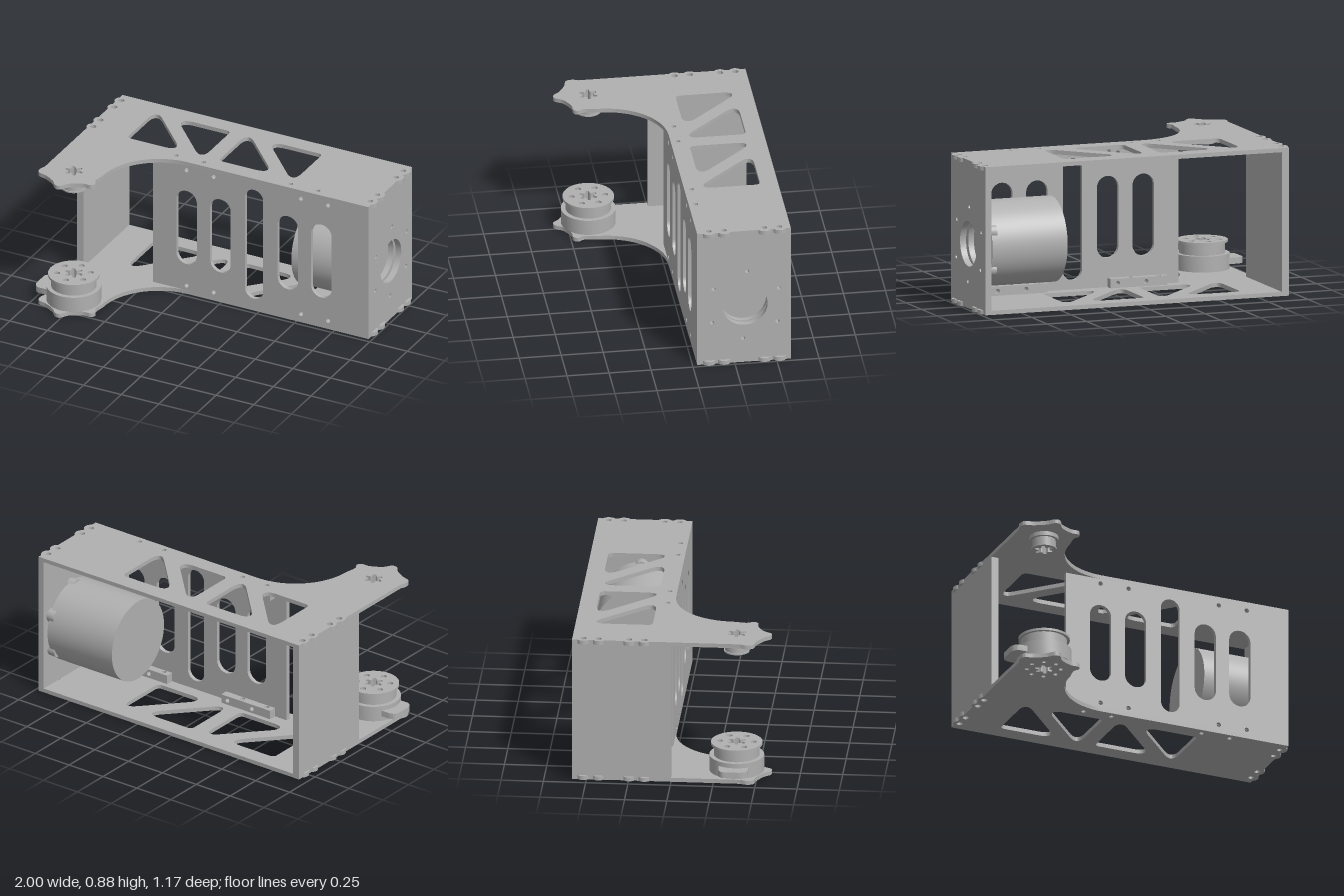
import * as THREE from 'three';
import { toCreasedNormals } from 'three/addons/utils/BufferGeometryUtils.js';

const metal = new THREE.MeshStandardMaterial({ color: 0xb0b0b0 });
metal.name = 'grey metal';

const PULLEY = [-0.77, 0.375]; // x, z of the pulley axis

function part(name, geometry) {
  const mesh = new THREE.Mesh(toCreasedNormals(geometry, 0.6), metal);
  mesh.name = name;
  return mesh;
}

const extrude = (shape, depth) =>
  new THREE.ExtrudeGeometry(shape, { depth, bevelEnabled: false, curveSegments: 16 });

// Shape drawn in x, z and laid flat between y0 and y1
const flat = (shape, y0, y1) => extrude(shape, y1 - y0).rotateX(Math.PI / 2).translate(0, y1, 0);

function circle(x, y, r) {
  const p = new THREE.Path();
  p.absarc(x, y, r, 0, Math.PI * 2, false);
  return p;
}

function rect(x0, y0, x1, y1) {
  return new THREE.Shape([[x0, y0], [x1, y0], [x1, y1], [x0, y1]].map(p => new THREE.Vector2(...p)));
}

function slot(x, y0, y1, r) {
  const p = new THREE.Path();
  p.absarc(x, y1 - r, r, 0, Math.PI, false);
  p.absarc(x, y0 + r, r, Math.PI, Math.PI * 2, false);
  p.closePath();
  return p;
}

// Polygon with each corner rounded; cuts are the distances from corner to tangent point
function roundedPolygon(points, cuts) {
  const p = new THREE.Path();
  const v = points.map(q => new THREE.Vector2(...q));
  v.forEach((c, i) => {
    const prev = v[(i + v.length - 1) % v.length], next = v[(i + 1) % v.length];
    const a = c.clone().add(prev.clone().sub(c).setLength(cuts[i]));
    const b = c.clone().add(next.clone().sub(c).setLength(cuts[i]));
    if (i === 0) p.moveTo(a.x, a.y); else p.lineTo(a.x, a.y);
    const k = 0.6; // pull of the bezier handles toward the corner
    const h1 = a.clone().lerp(c, k), h2 = b.clone().lerp(c, k);
    p.bezierCurveTo(h1.x, h1.y, h2.x, h2.y, b.x, b.y);
  });
  p.closePath();
  return p;
}

// Lobed opening through the pulley axis
function splineHole() {
  const pts = [];
  for (let i = 0; i < 48; i++) {
    const a = (i / 48) * Math.PI * 2;
    const r = 0.045 + 0.012 * Math.tanh(2.5 * Math.cos(6 * a));
    pts.push(new THREE.Vector2(PULLEY[0] + r * Math.cos(a), PULLEY[1] + r * Math.sin(a)));
  }
  return new THREE.Path(pts);
}

function boltCircle(n, radius, r) {
  return Array.from({ length: n }, (_, i) => {
    const a = ((i + 0.5) / n) * Math.PI * 2;
    return circle(PULLEY[0] + radius * Math.cos(a), PULLEY[1] + radius * Math.sin(a), r);
  });
}

// Outline shared by the upper and lower plates, with edge lobes and a curved foot
function armPlate(mirrorTruss) {
  const s = new THREE.Shape();
  const rightZ = [-0.52, -0.43, -0.19, -0.10], leftZ = [-0.16, -0.25, -0.43, -0.52];
  const ra = Math.acos(0.025 / 0.045), la = Math.acos(0.025 / 0.04);
  s.moveTo(-0.945, -0.585);
  s.lineTo(0.978, -0.585);
  rightZ.forEach(z => s.absarc(0.953, z, 0.045, -ra, ra, false));
  s.lineTo(0.978, -0.027);
  s.lineTo(-0.22, -0.027);
  s.bezierCurveTo(-0.42, -0.027, -0.59, 0.13, -0.59, 0.35);
  s.splineThru([[-0.6, 0.42], [-0.582, 0.46], [-0.6, 0.488], [-0.65, 0.492], [-0.72, 0.53],
    [-0.755, 0.578], [-0.79, 0.578], [-0.825, 0.54], [-0.89, 0.502], [-0.945, 0.485],
    [-0.957, 0.445], [-0.945, 0.41]].map(p => new THREE.Vector2(...p)));
  leftZ.forEach(z => s.absarc(-0.92, z, 0.04, Math.PI - la, Math.PI + la, false));
  s.closePath();

  // Bolt holes
  rightZ.forEach(z => s.holes.push(circle(0.953, z, 0.016)));
  leftZ.forEach(z => s.holes.push(circle(-0.92, z, 0.019)));
  [-0.32, -0.14, 0.44, 0.62].forEach(x => s.holes.push(circle(x, -0.07, 0.014)));

  // Two truss panels, each a pair of triangles about a diagonal strut
  for (const cx of [-0.425, 0.183]) {
    for (const k of [-1, 1]) {
      const m = mirrorTruss ? -1 : 1;
      const tri = [[0.255, -0.175], [-0.107, -0.175], [0.255, 0.212]]
        .map(([x, z]) => [cx + k * x, -0.305 + k * m * z]);
      s.holes.push(roundedPolygon(tri, [0.03, 0.115, 0.115]));
    }
  }
  s.holes.push(splineHole());
  return s;
}

// One stepped pulley layer
function disc(name, r, y0, y1, bolts = []) {
  const s = new THREE.Shape();
  s.absarc(...PULLEY, r, 0, Math.PI * 2, false);
  s.holes.push(splineHole(), ...bolts);
  const g = new THREE.ExtrudeGeometry(s, { depth: y1 - y0, bevelEnabled: false, curveSegments: 32 });
  return part(name, g.rotateX(Math.PI / 2).translate(0, y1, 0));
}

// Mounting bar made of four blocks, drilled alternately vertically and toward the front
function mountingBar(cx, y0) {
  const g = new THREE.Group();
  g.name = 'mountingBar';
  for (let i = 0; i < 4; i++) {
    const x = cx + (i - 1.5) * 0.09;
    const upright = i % 2 === 0;
    const s = upright ? rect(x - 0.045, -0.1, x + 0.045, -0.05) : rect(x - 0.045, y0, x + 0.045, y0 + 0.055);
    s.holes.push(upright ? circle(x, -0.07, 0.014) : circle(x, y0 + 0.0275, 0.014));
    g.add(part('barBlock', upright ? flat(s, y0, y0 + 0.055) : extrude(s, 0.05).translate(0, 0, -0.1)));
  }
  return g;
}

export function createModel() {
  const model = new THREE.Group();
  model.name = 'armFrame';

  // Upper and lower plates
  const lower = armPlate(true);
  lower.holes.push(...boltCircle(8, 0.1, 0.013));
  model.add(part('upperPlate', flat(armPlate(false), 0.86, 0.885)));
  model.add(part('lowerPlate', flat(lower, 0, 0.025)));

  // Slotted front panel
  const front = rect(-0.452, 0.025, 0.978, 0.86);
  [-0.23, -0.005, 0.218, 0.443, 0.665].forEach((x, i) =>
    front.holes.push(i === 2 ? slot(x, 0.08, 0.81, 0.06) : slot(x, 0.2, 0.69, 0.068)));
  for (const x of [-0.23, -0.05, 0.53, 0.71])
    for (const y of [0.055, 0.83]) front.holes.push(circle(x, y, 0.014));
  model.add(part('frontPanel', extrude(front, 0.025).translate(0, 0, -0.052)));

  // Bars joining the front panel to the plates
  for (const x of [-0.185, 0.575])
    for (const y of [0.025, 0.805]) model.add(mountingBar(x, y));

  // Motor side plate, drawn in z, y
  const bolts = [[-0.325, 0.61], [-0.125, 0.505], [-0.515, 0.485], [-0.115, 0.28], [-0.505, 0.26], [-0.3, 0.16]];
  const side = rect(-0.585, 0.025, -0.052, 0.86);
  side.holes.push(circle(-0.312, 0.385, 0.135), ...bolts.map(([z, y]) => circle(z, y, 0.0125)));
  model.add(part('motorSidePlate', extrude(side, 0.038).rotateY(-Math.PI / 2).translate(0.978, 0, 0)));

  // Plain end plate
  model.add(part('endPlate', new THREE.BoxGeometry(0.045, 0.835, 0.585).translate(-0.9225, 0.4425, -0.2925)));

  // Motor with a shallow recess behind the side plate
  const profile = [[0, 0.45], [0.255, 0.45], [0.255, 0.925], [0.137, 0.925], [0.137, 0.89], [0, 0.89]];
  const motor = new THREE.LatheGeometry(profile.map(p => new THREE.Vector2(...p)), 64);
  model.add(part('motor', motor.rotateZ(-Math.PI / 2).translate(0, 0.385, -0.312)));
  for (const [z, y] of bolts)
    model.add(part('motorLug', new THREE.CylinderGeometry(0.042, 0.042, 0.05, 20)
      .rotateZ(Math.PI / 2).translate(0.915, y, z)));

  // Lower pulley with bolt circle and side connector
  model.add(disc('lowerPulleyBase', 0.162, 0.025, 0.12));
  model.add(disc('lowerPulleyBody', 0.135, 0.12, 0.185));
  model.add(disc('lowerPulleyFlange', 0.152, 0.185, 0.2, boltCircle(6, 0.1, 0.018)));
  const lug = new THREE.Shape();
  lug.moveTo(-0.88, 0.28);
  lug.lineTo(-0.88, 0.455);
  lug.lineTo(-0.965, 0.455);
  lug.quadraticCurveTo(-1, 0.44, -1, 0.4);
  lug.lineTo(-1, 0.32);
  lug.quadraticCurveTo(-1, 0.285, -0.95, 0.28);
  lug.closePath();
  model.add(part('pulleyConnector', flat(lug, 0.055, 0.092)));

  // Upper pulley
  model.add(disc('upperPulleyFlange', 0.085, 0.835, 0.86));
  model.add(disc('upperPulleyBody', 0.069, 0.784, 0.835));
  model.add(disc('upperPulleyRim', 0.076, 0.775, 0.784));

  return model;
}
